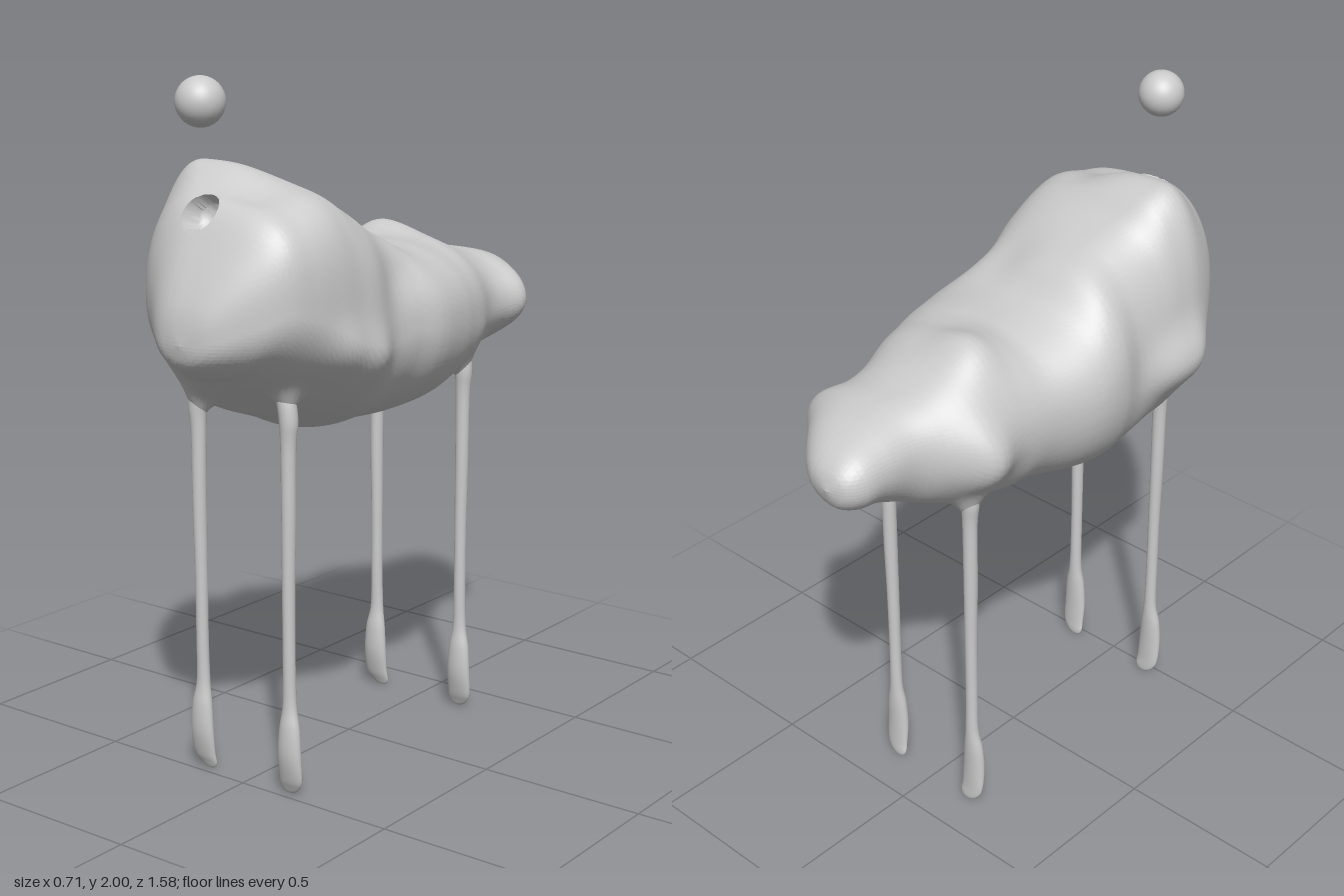
import * as THREE from 'three';
import { toCreasedNormals } from 'three/addons/utils/BufferGeometryUtils.js';

const material = new THREE.MeshStandardMaterial({ color: 0xcccccc });
const legX = 0.161, legZ = { front: 0.482, rear: -0.357 };

// Smooth skin over closed rings: point(u, angle) for u in 0..1
function loft(point, rings, sides) {
  const pos = [], index = [];
  for (let i = 0; i <= rings; i++)
    for (let j = 0; j < sides; j++) {
      const p = point(i / rings, (j / sides) * Math.PI * 2);
      pos.push(p.x, p.y, p.z);
    }
  for (let i = 0; i < rings; i++)
    for (let j = 0; j < sides; j++) {
      const k = (j + 1) % sides;
      const a = i * sides + j, b = i * sides + k, c = a + sides, d = b + sides;
      index.push(a, c, b, b, c, d);
    }
  const g = new THREE.BufferGeometry();
  g.setAttribute('position', new THREE.Float32BufferAttribute(pos, 3));
  g.setIndex(index);
  g.computeVertexNormals();
  return g;
}

// Catmull-Rom blend between the rows of a table
function sample(rows, u) {
  const t = u * (rows.length - 1), i = Math.min(Math.floor(t), rows.length - 2), f = t - i;
  const row = (k) => rows[Math.max(0, Math.min(rows.length - 1, k))];
  return rows[0].map((_, n) => {
    const a = row(i - 1)[n], b = row(i)[n], c = row(i + 1)[n], d = row(i + 2)[n];
    return b + 0.5 * f * (c - a + f * (2 * a - 5 * b + 4 * c - d + f * (3 * (b - c) + d - a)));
  });
}

// Body sections, front to back: z, min x, max x, bottom, top, height of widest point, x of crest
const sections = [
  [0.79, 0.05, 0.05, 1.32, 1.32, 1.32, 0.05],
  [0.77, -0.04, 0.14, 1.26, 1.42, 1.33, 0.04],
  [0.70, -0.13, 0.24, 1.22, 1.56, 1.37, 0.02],
  [0.63, -0.21, 0.30, 1.19, 1.665, 1.40, -0.02],
  [0.55, -0.27, 0.325, 1.14, 1.71, 1.38, -0.08],
  [0.46, -0.305, 0.335, 1.09, 1.76, 1.34, -0.15],
  [0.38, -0.31, 0.335, 1.05, 1.74, 1.30, -0.14],
  [0.30, -0.31, 0.335, 1.02, 1.68, 1.28, -0.10],
  [0.20, -0.31, 0.315, 0.98, 1.64, 1.27, -0.08],
  [0.10, -0.335, 0.325, 0.98, 1.60, 1.29, -0.08],
  [0.00, -0.33, 0.345, 0.985, 1.525, 1.29, -0.04],
  [-0.12, -0.285, 0.33, 1.00, 1.50, 1.28, 0],
  [-0.20, -0.265, 0.31, 1.01, 1.495, 1.27, -0.03],
  [-0.28, -0.25, 0.285, 1.035, 1.495, 1.26, -0.05],
  [-0.38, -0.235, 0.24, 1.06, 1.465, 1.27, -0.06],
  [-0.47, -0.195, 0.215, 1.09, 1.435, 1.28, -0.04],
  [-0.55, -0.16, 0.21, 1.12, 1.42, 1.29, -0.01],
  [-0.64, -0.15, 0.16, 1.16, 1.40, 1.29, -0.01],
  [-0.72, -0.145, 0.09, 1.19, 1.37, 1.28, -0.04],
  [-0.77, -0.115, 0.02, 1.225, 1.33, 1.28, -0.06],
  [-0.79, -0.06, -0.06, 1.28, 1.28, 1.28, -0.06],
];

// Lumps and dents on the body: x, y, z, radius, height
const lumps = [
  [-0.31, 1.28, 0.42, 0.09, 0.04],
  [-0.31, 1.28, 0.31, 0.08, 0.03],
  [0.34, 1.25, 0.30, 0.08, 0.02],
  [0.34, 1.27, 0.43, 0.08, 0.02],
  [0.12, 1.74, 0.48, 0.12, -0.04],
  [0.15, 1.60, 0.10, 0.12, -0.03],
  [0.30, 1.46, 0.13, 0.09, -0.025],
  [-0.08, 1.51, -0.28, 0.10, 0.035],
  [-0.25, 1.26, -0.38, 0.10, 0.06],
  [0.22, 1.28, -0.54, 0.09, 0.05],
];

// Round socket carved straight into the skin, with a clean rim and a bowl floor
function carveSocket(g, centre, inward, radius, rim) {
  const pos = g.attributes.position, d = new THREE.Vector3();
  for (let i = 0; i < pos.count; i++) {
    d.fromBufferAttribute(pos, i).sub(centre);
    let depth = d.dot(inward);
    d.addScaledVector(inward, -depth);
    const r = d.length();
    if (r > radius || Math.abs(depth) > 0.1) continue;
    if (r > radius - rim) d.setLength(radius);
    else depth = Math.sqrt(radius * radius - r * r) + 0.01;
    d.addScaledVector(inward, depth).add(centre);
    pos.setXYZ(i, d.x, d.y, d.z);
  }
}

function bodyGeometry() {
  const p = new THREE.Vector3();
  const g = loft((u, a) => {
    const [z, l, r, bottom, top, mid, crest] = sample(sections, u);
    const c = Math.cos(a), s = Math.sin(a);
    // Square left shoulder, softer right one, round belly
    const n = s < 0 ? 2 : c < 0 ? 2.2 : 2.4 + 0.8 * THREE.MathUtils.smoothstep(z, -0.1, 0.3);
    const k = (Math.abs(c) ** n + Math.abs(s) ** n) ** (-1 / n);
    p.set(crest + (c > 0 ? r - crest : crest - l) * c * k, mid + (s > 0 ? top - mid : mid - bottom) * s * k, z);
    let rise = 0;
    for (const [x, y, lz, size, height] of lumps)
      rise += height * Math.exp(-((p.x - x) ** 2 + (p.y - y) ** 2 + (z - lz) ** 2) / (size * size));
    const out = Math.hypot(p.x, p.y - 1.3) || 1;
    const q = new THREE.Vector3(p.x * (1 + rise / out), p.y + ((p.y - 1.3) * rise) / out, z);
    // Skin drawn down around the top of each leg
    if (q.y < 1.25)
      for (const lz of Object.values(legZ))
        q.y -= 0.06 * Math.exp(-((Math.abs(q.x) - legX) ** 2 + (z - lz) ** 2) / 0.0011);
    return q;
  }, 260, 220);
  carveSocket(g, new THREE.Vector3(0, 1.645, 0.635), new THREE.Vector3(0, -0.4, -0.92).normalize(), 0.056, 0.01);
  return toCreasedNormals(g, 0.7);
}

// Leg rings, top to bottom: height, outward shift, forward shift, half width, half depth
const legRings = [
  [1.19, -0.03, 0, 0.015, 0.015],
  [1.15, -0.01, 0, 0.026, 0.026],
  [1.08, 0.002, 0, 0.027, 0.026],
  [1.00, 0, 0, 0.022, 0.021],
  [0.80, 0, 0, 0.02, 0.021],
  [0.60, -0.002, 0, 0.018, 0.019],
  [0.40, -0.002, 0, 0.018, 0.018],
  [0.27, -0.002, -0.001, 0.021, 0.018],
  [0.20, 0, 0.003, 0.033, 0.022],
  [0.12, 0, 0.004, 0.039, 0.021],
  [0.05, -0.001, -0.003, 0.039, 0.014],
  [0.02, -0.008, -0.009, 0.033, 0.009],
  [0.004, -0.013, -0.012, 0.018, 0.005],
  [0, -0.015, -0.012, 0, 0],
];

function legGeometry(side) {
  return loft((u, a) => {
    const [y, out, fwd, w, d] = sample(legRings, u);
    return new THREE.Vector3(side * out + w * Math.cos(a), Math.max(0, y), fwd - d * Math.sin(a));
  }, 60, 20);
}

export function createModel() {
  const model = new THREE.Group();
  const add = (name, geometry, x = 0, y = 0, z = 0) => {
    const mesh = new THREE.Mesh(geometry, material);
    mesh.name = name;
    mesh.position.set(x, y, z);
    model.add(mesh);
  };

  add('body', bodyGeometry());
  add('floatingBall', new THREE.SphereGeometry(0.067, 32, 20), 0, 1.933, 0.633);

  for (const [side, label] of [[1, 'Left'], [-1, 'Right']])
    for (const [end, z] of Object.entries(legZ))
      add(end + label + 'Leg', legGeometry(side), side * legX, 0, z);
  return model;
}
